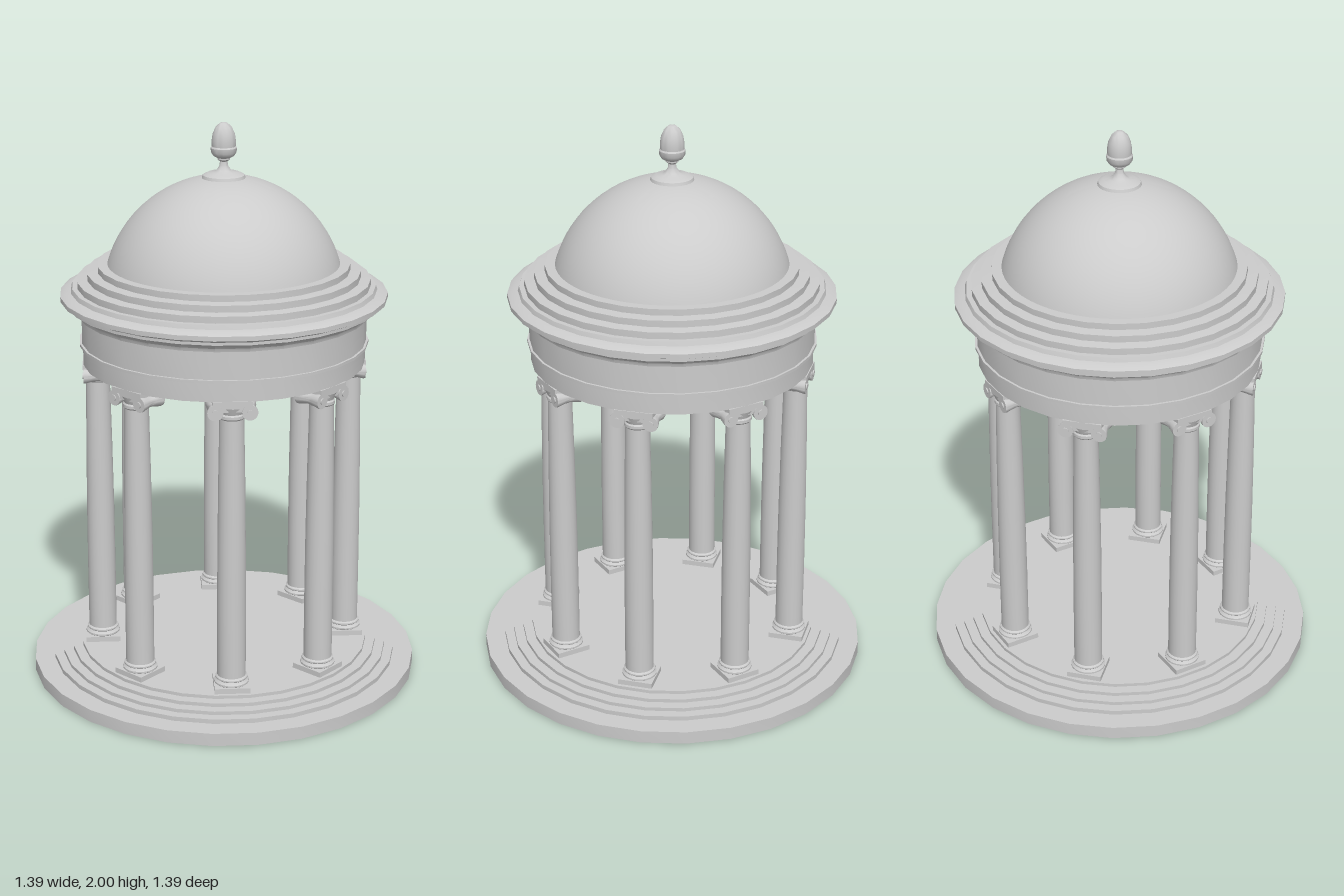
import * as THREE from 'three';
import { toCreasedNormals } from 'three/addons/utils/BufferGeometryUtils.js';

const material = new THREE.MeshStandardMaterial({ color: 0xcccccc });
const SIDES = 28;
const PHASE = 0.053;

function part(name, geometry, parent) {
  const mesh = new THREE.Mesh(geometry, material);
  mesh.name = name;
  parent.add(mesh);
  return mesh;
}

// Turned solid from [radius, height] pairs, with sharp mouldings kept crisp
function turned(profile, sides = SIDES) {
  const points = profile.map(([r, y]) => new THREE.Vector2(r, y));
  return toCreasedNormals(new THREE.LatheGeometry(points, sides, PHASE), 0.6);
}

// Profile of stacked discs given as [radius, bottom, top]
const steps = (rows) => rows.flatMap(([r, y0, y1]) => [[r, y0], [r, y1]]);

// Points on a spherical cap from its rim up to the axis
function capArc(radius, centreY, rimRadius, count) {
  const rim = Math.asin(rimRadius / radius);
  return Array.from({ length: count + 1 }, (_, i) => {
    const a = rim * (1 - i / count);
    return [radius * Math.sin(a), centreY + radius * Math.cos(a)];
  });
}

function createColumn() {
  const column = new THREE.Group();
  column.name = 'column';

  // Square plinth and moulded base
  part('plinth', new THREE.BoxGeometry(0.124, 0.02, 0.124), column).position.y = 0.109;
  part('columnBase', turned([
    [0.056, 0.118], [0.061, 0.122], [0.061, 0.128], [0.056, 0.132],
    [0.053, 0.136], [0.056, 0.139], [0.056, 0.144], [0.05, 0.149],
  ], 20), column);

  // Shaft with a gentle swelling
  part('shaft', turned([
    [0.05, 0.145], [0.05, 0.4], [0.049, 0.62], [0.046, 0.87], [0.042, 1.09],
    [0.046, 1.095], [0.046, 1.105], [0.042, 1.11], [0.052, 1.135],
  ], 20), column);

  // Scrolled capital: a waisted bolster on each side under a thin slab
  const capital = new THREE.Group();
  capital.name = 'capital';
  column.add(capital);
  const bolster = turned([
    [0, -0.054], [0.011, -0.054], [0.011, -0.05], [0.027, -0.05], [0.027, -0.042],
    [0.021, -0.016], [0.019, 0], [0.021, 0.016],
    [0.027, 0.042], [0.027, 0.05], [0.011, 0.05], [0.011, 0.054], [0, 0.054],
  ], 18);
  for (const side of [-1, 1]) {
    const scroll = part('scroll', bolster, capital);
    scroll.rotation.x = Math.PI / 2;
    scroll.position.set(side * 0.058, 1.122, 0);
  }
  part('cushion', new THREE.BoxGeometry(0.12, 0.024, 0.092), capital).position.y = 1.135;
  part('abacus', new THREE.BoxGeometry(0.134, 0.018, 0.104), capital).position.y = 1.153;
  return column;
}

export function createModel() {
  const model = new THREE.Group();
  model.name = 'rotunda';

  // Round stepped platform
  part('steppedBase', turned([
    [0, 0],
    ...steps([
      [0.697, 0, 0.046], [0.625, 0.046, 0.062], [0.592, 0.062, 0.075],
      [0.557, 0.075, 0.088], [0.522, 0.088, 0.1],
    ]),
    [0, 0.1],
  ]), model);

  // Eight columns facing outwards
  for (let i = 0; i < 8; i++) {
    const angle = (i + 0.5) * Math.PI / 4;
    const column = createColumn();
    column.position.set(0.445 * Math.sin(angle), 0, 0.445 * Math.cos(angle));
    column.rotation.y = angle;
    model.add(column);
  }

  // Ring beam, frieze and stepped cornice, hollow inside
  part('entablature', turned([
    [0.36, 1.16],
    ...steps([[0.497, 1.16, 1.228], [0.508, 1.228, 1.238], [0.5, 1.238, 1.335]]),
    [0.512, 1.338], [0.515, 1.35], [0.535, 1.368], [0.545, 1.37], [0.545, 1.38],
    [0.555, 1.388], [0.572, 1.392], [0.572, 1.408], [0.555, 1.416],
    [0.535, 1.42], [0.53, 1.435],
    ...steps([[0.512, 1.435, 1.458], [0.477, 1.462, 1.485], [0.44, 1.488, 1.51]]),
    [0.4, 1.51], [0.4, 1.36], [0.36, 1.34], [0.36, 1.16],
  ]), model);

  // Dome shell and its ceiling
  part('dome', turned(capArc(0.421, 1.394, 0.41, 20), 56), model);
  part('ceiling', turned(capArc(0.405, 1.36, 0.404, 20).reverse(), 56), model);

  // Crown disc, stem and acorn finial
  part('finial', turned([
    [0.078, 1.8], [0.072, 1.818], [0.055, 1.826], [0.035, 1.829], [0.025, 1.835],
    [0.015, 1.85], [0.013, 1.865], [0.022, 1.872], [0.022, 1.877],
    [0.036, 1.884], [0.044, 1.896], [0.045, 1.912], [0.041, 1.917],
    [0.042, 1.935], [0.038, 1.96], [0.028, 1.983], [0.013, 1.997], [0, 2],
  ], 24), model);

  return model;
}
